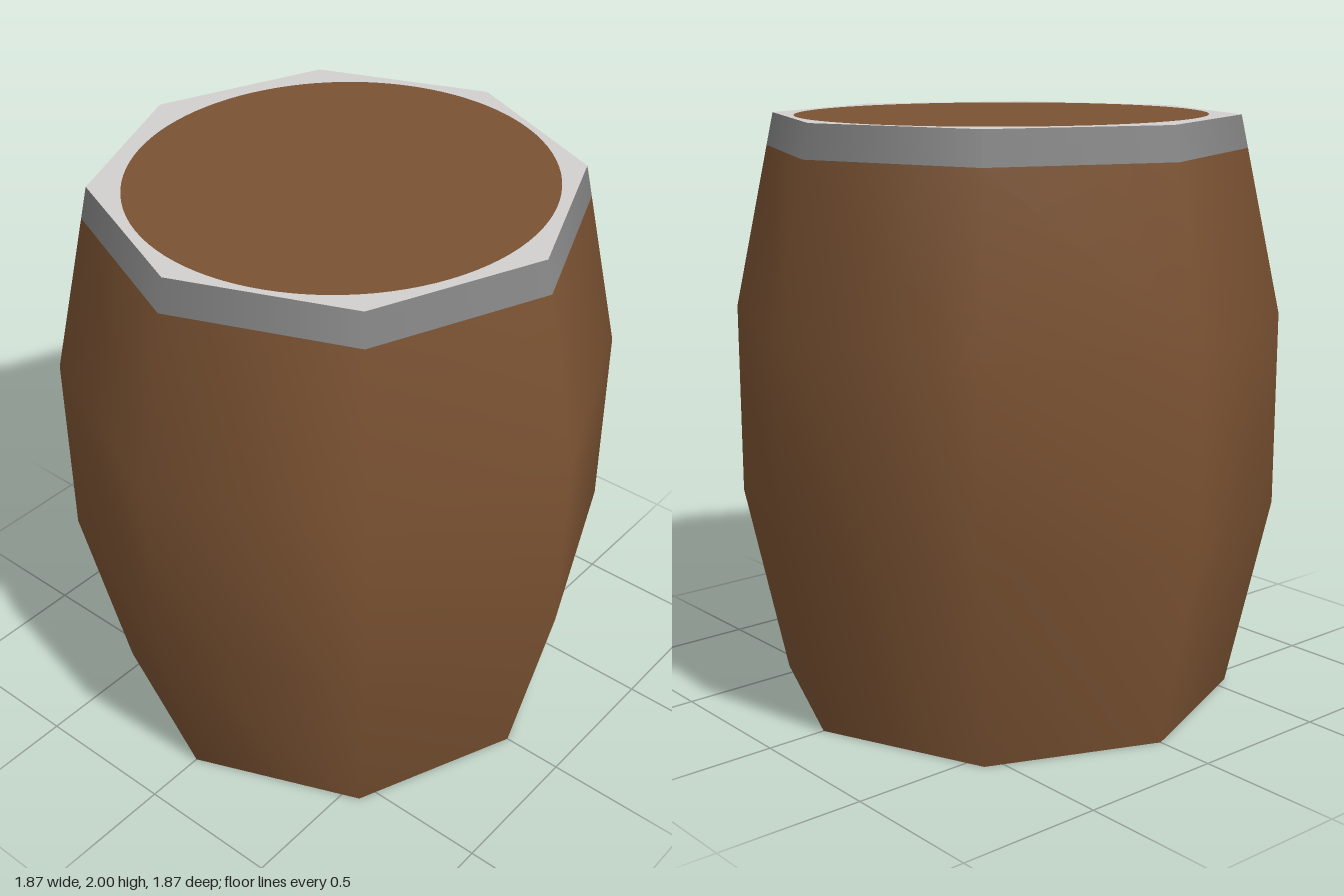
import * as THREE from 'three';

const SIDES = 8, END = 0.79, BELLY = 0.935, BAND_Y = 1.89, BAND_R = 0.814;

export function createModel() {
  const group = new THREE.Group();
  const wood = new THREE.MeshStandardMaterial({ color: 0x7a5232 });
  wood.name = 'brown wood';
  const iron = new THREE.MeshStandardMaterial({ color: 0x858585 });
  iron.name = 'grey iron';
  const rim = new THREE.MeshStandardMaterial({ color: 0xd2cfcf });
  rim.name = 'pale rim';

  const add = (name, geometry, material, y = 0) => {
    const mesh = new THREE.Mesh(geometry, material);
    mesh.name = name;
    mesh.position.y = y;
    group.add(mesh);
  };
  const turned = (profile) =>
    new THREE.LatheGeometry(profile.map(([r, y]) => new THREE.Vector2(r, y)), SIDES);

  // Bulging eight-sided body and the band around its top
  add('barrelBody', turned([[END, 0], [BELLY, 0.667], [BELLY, 1.333], [BAND_R, BAND_Y]]), wood);
  add('topBand', turned([[BAND_R, BAND_Y], [END, 2]]), iron);

  // Each end: an octagonal rim with a round wooden head flush inside it
  const addEnd = (prefix, y, tilt, rimMaterial, cx, rx, rz) => {
    const octagon = new THREE.Shape(Array.from({ length: SIDES }, (_, i) => {
      const a = (i / SIDES) * Math.PI * 2;
      return new THREE.Vector2(END * Math.cos(a), END * Math.sin(a));
    }));
    const disc = new THREE.Shape().absellipse(cx, 0, rx, rz, 0, Math.PI * 2);
    octagon.holes.push(disc);
    add(prefix + 'Rim', new THREE.ShapeGeometry(octagon, 48).rotateX(tilt), rimMaterial, y);
    add(prefix + 'Head', new THREE.ShapeGeometry(disc, 48).rotateX(tilt), wood, y);
  };
  addEnd('top', 2, -Math.PI / 2, rim, 0.012, 0.677, 0.705);
  addEnd('bottom', 0, Math.PI / 2, iron, 0, 0.69, 0.7);

  return group;
}
